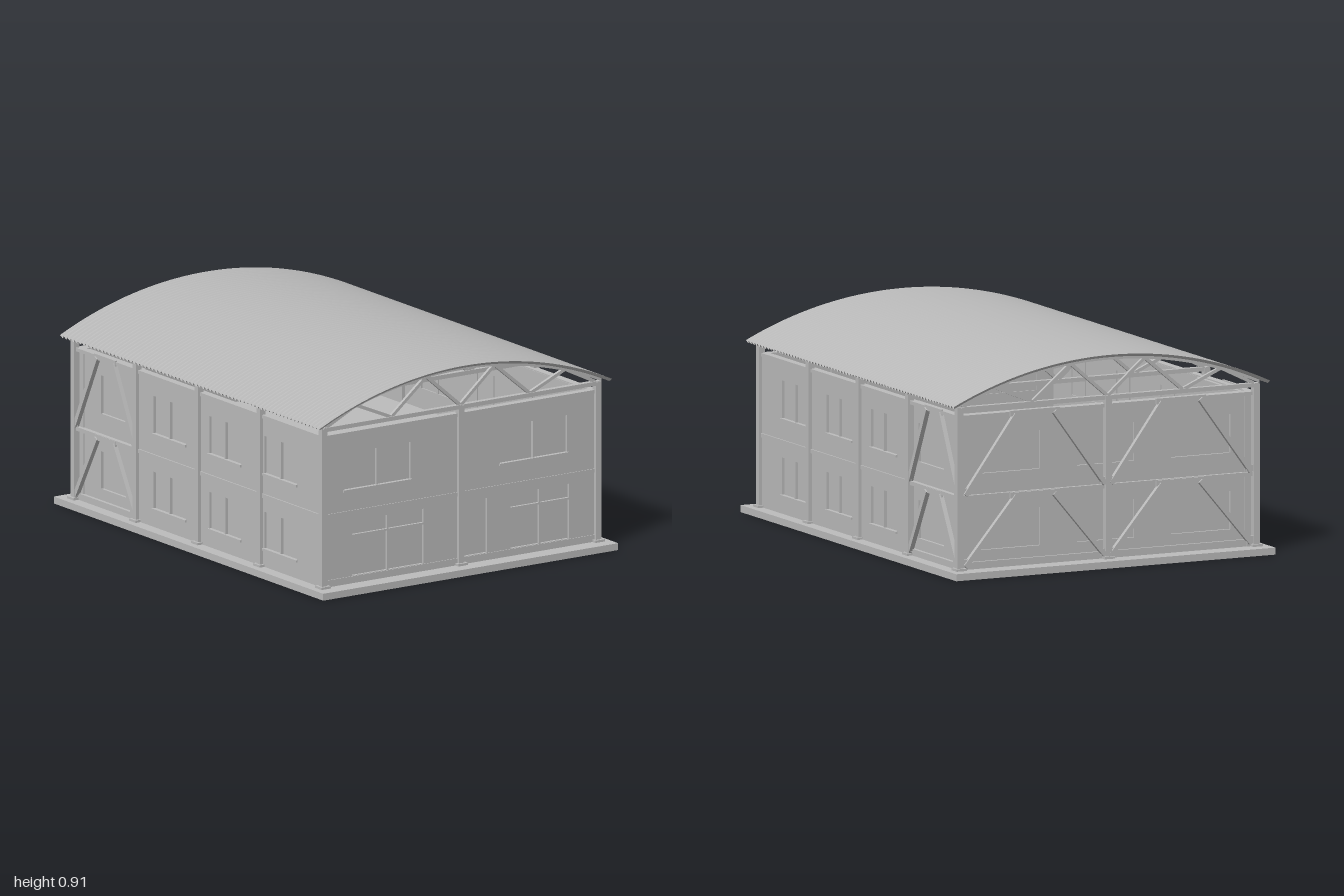
import * as THREE from 'three';

const concrete = new THREE.MeshStandardMaterial({ color: 0xbcbcbc });
concrete.name = 'light grey';
const sheet = new THREE.MeshStandardMaterial({ color: 0xbcbcbc, side: THREE.DoubleSide });
sheet.name = 'light grey sheet';

function add(parent, name, geometry, material = concrete) {
  const mesh = new THREE.Mesh(geometry, material);
  mesh.name = name;
  parent.add(mesh);
  return mesh;
}

// Box given by its extents on each axis
function box(parent, name, x0, x1, y0, y1, z0, z1) {
  const mesh = add(parent, name, new THREE.BoxGeometry(Math.abs(x1 - x0), y1 - y0, Math.abs(z1 - z0)));
  mesh.position.set((x0 + x1) / 2, (y0 + y1) / 2, (z0 + z1) / 2);
  return mesh;
}

// Straight bar between two points of one upright plane
function bar(parent, name, x0, y0, x1, y1, z, width, depth) {
  const length = Math.hypot(x1 - x0, y1 - y0);
  const mesh = add(parent, name, new THREE.BoxGeometry(length, width, depth));
  mesh.position.set((x0 + x1) / 2, (y0 + y1) / 2, z);
  mesh.rotation.z = Math.atan2(y1 - y0, x1 - x0);
}

function rectangle(path, x0, x1, y0, y1) {
  path.moveTo(x0, y0);
  path.lineTo(x1, y0);
  path.lineTo(x1, y1);
  path.lineTo(x0, y1);
  path.closePath();
  return path;
}

// Wall panel with recessed panes; z is its outer face
function wall(parent, x0, x1, y0, y1, z, openings) {
  const shape = rectangle(new THREE.Shape(), x0, x1, y0, y1);
  for (const [a, b, c, d] of openings) {
    shape.holes.push(rectangle(new THREE.Path(), a, b, c, d));
    box(parent, 'pane', a, b, c, d, z - 0.024, z - 0.012);
  }
  const panel = new THREE.ExtrudeGeometry(shape, { depth: 0.03, bevelEnabled: false });
  add(parent, 'wallPanel', panel).position.z = z - 0.03;
}

// Two panes side by side
const pair = (a, b, c, d) => {
  const m = (a + b) / 2;
  return [[a, m - 0.004, c, d], [m + 0.004, b, c, d]];
};

function sill(parent, a, b, y, z) {
  box(parent, 'sill', a - 0.005, b + 0.005, y - 0.01, y, z - 0.01, z + 0.008);
}

// Pair of slanting braces on each storey of a bay from a to b
function braces(parent, a, b, z) {
  const w = b - a, mid = (a + b) / 2;
  for (const [low, high] of [[0.045, 0.335], [0.35, 0.685]]) {
    for (const s of [-1, 1]) {
      bar(parent, 'brace', mid + s * w * 0.48, low, mid + s * w * 0.13, high - 0.005, z, 0.02, 0.02);
      box(parent, 'gusset', mid + s * w * 0.5, mid + s * w * 0.45, low, low + 0.03, z - 0.003, z + 0.003);
    }
    box(parent, 'gusset', mid - w * 0.17, mid + w * 0.17, high - 0.014, high + 0.01, z - 0.004, z + 0.004);
  }
}

function storeyBeams(parent, half, z) {
  box(parent, 'floorBeam', -half, half, 0.33, 0.347, z - 0.03, z + 0.004);
  box(parent, 'topBeam', -half, half, 0.675, 0.69, z - 0.03, z + 0.004);
}

function front() {
  const g = new THREE.Group();
  g.name = 'frontWall';
  const z = 0.918;
  const lower = [[0.015, 0.14, 0.06, 0.3]];
  for (const [a, b] of [[-0.55, -0.185], [0.26, 0.56]]) {
    lower.push(...pair(a, b, 0.062, 0.232), ...pair(a, b, 0.24, 0.3));
  }
  lower[0][2] = 0.062;
  const upper = [[-0.592, -0.252], [0.207, 0.55]];
  wall(g, -0.69, 0.69, 0.03, 0.335, z, lower);
  wall(g, -0.69, 0.69, 0.335, 0.69, z, upper.flatMap(([a, b]) => pair(a, b, 0.436, 0.6)));
  upper.forEach(([a, b]) => sill(g, a, b, 0.44, z));
  box(g, 'plinth', -0.69, 0.69, 0.03, 0.06, z - 0.03, z + 0.004);
  storeyBeams(g, 0.69, z);
  return g;
}

function back() {
  const g = new THREE.Group();
  g.name = 'backWall';
  g.rotation.y = Math.PI;
  const z = 0.905;
  const spans = [[-0.59, -0.31], [-0.135, 0.135], [0.31, 0.59]];
  wall(g, -0.69, 0.69, 0.03, 0.335, z, spans.map(([a, b]) => [a, b, 0.107, 0.27]));
  wall(g, -0.69, 0.69, 0.335, 0.69, z, spans.map(([a, b]) => [a, b, 0.434, 0.6]));
  box(g, 'plinth', -0.69, 0.69, 0.03, 0.06, z - 0.03, z + 0.012);
  storeyBeams(g, 0.69, z + 0.012);
  braces(g, -0.69, 0, z + 0.02);
  braces(g, 0, 0.69, z + 0.02);
  return g;
}

// Long side: s = 1 for the +x side, -1 for the mirrored one
function side(s) {
  const g = new THREE.Group();
  g.name = s > 0 ? 'leftSideWall' : 'rightSideWall';
  g.rotation.y = s * Math.PI / 2;
  const z = 0.7;
  // turns a span along the building into the wall's own coordinates
  const span = (a, b) => [-s * a, -s * b].sort((p, q) => p - q);
  const windows = [[0.724, 0.483], [0.31, 0.075], [-0.1, -0.34]].map(([a, b]) => span(a, b));
  const [w0, w1] = span(0.91, -0.46);
  for (const [y0, y1, c, d] of [[0.03, 0.34, 0.107, 0.27], [0.34, 0.685, 0.434, 0.6]]) {
    wall(g, w0, w1, y0, y1, z, windows.flatMap(([a, b]) => pair(a, b, c, d)));
    windows.forEach(([a, b]) => sill(g, a, b, c + 0.004, z));
    const [b0, b1] = span(-0.46, -0.91);
    wall(g, b0, b1, y0, y1, z - 0.015, [[...span(-0.51, -0.75), c, d]]);
  }
  const [b0, b1] = span(-0.46, -0.92);
  box(g, 'plinth', b0, b1, 0.03, 0.058, z - 0.04, z);
  storeyBeams(g, 0.91, z + 0.002);
  braces(g, b0, b1, z + 0.004);
  return g;
}

// Circular roof line
const arc = (x, top, R = 1.745) => top - R + Math.sqrt(R * R - x * x);

function truss(z) {
  const g = new THREE.Group();
  g.name = 'roofTruss';
  g.position.z = z;
  const shape = new THREE.Shape();
  const n = 32, half = 0.715;
  for (let i = 0; i <= n; i++) {
    const x = -half + 2 * half * i / n;
    i ? shape.lineTo(x, arc(x, 0.893)) : shape.moveTo(x, arc(x, 0.893));
  }
  for (let i = n; i >= 0; i--) {
    const x = -half + 2 * half * i / n;
    shape.lineTo(x, arc(x, 0.88));
  }
  add(g, 'topChord', new THREE.ExtrudeGeometry(shape, { depth: 0.024, bevelEnabled: false })).position.z = -0.012;
  box(g, 'bottomChord', -0.715, 0.715, 0.71, 0.728, -0.012, 0.012);
  for (const s of [-1, 1]) {
    const nodes = [[0, 0.725], [0.175, 0.875], [0.355, 0.725], [0.535, 0.803], [0.69, 0.727]];
    for (let i = 0; i < 4; i++) {
      bar(g, 'web', s * nodes[i][0], nodes[i][1], s * nodes[i + 1][0], nodes[i + 1][1], 0, 0.014, 0.014);
    }
  }
  return g;
}

function column(x, z) {
  const g = new THREE.Group();
  g.name = 'column';
  box(g, 'shaft', x - 0.014, x + 0.014, 0.03, 0.725, z - 0.014, z + 0.014);
  box(g, 'basePlate', x - 0.024, x + 0.024, 0.03, 0.04, z - 0.024, z + 0.024);
  return g;
}

// Corrugated arched sheet, waves running along the building
function roof() {
  const waves = 72;
  const geometry = new THREE.PlaneGeometry(1.49, 1.93, 40, waves * 6);
  geometry.rotateX(-Math.PI / 2);
  const p = geometry.attributes.position;
  for (let i = 0; i < p.count; i++) {
    const ripple = 0.006 * Math.cos(p.getZ(i) / 1.93 * waves * Math.PI * 2);
    const x = p.getX(i);
    p.setXYZ(i, x * (1 + ripple / 1.745), arc(x, 0.9) + ripple, p.getZ(i));
  }
  geometry.computeVertexNormals();
  return geometry;
}

export function createModel() {
  const model = new THREE.Group();
  model.name = 'twoStoreyHall';
  box(model, 'groundSlab', -0.755, 0.755, 0, 0.03, -1, 1);
  box(model, 'upperFloor', -0.67, 0.67, 0.325, 0.345, -0.88, 0.89);
  model.add(front(), back(), side(1), side(-1));

  // Frames: columns and arched trusses
  for (const z of [-0.92, -0.46, 0, 0.46, 0.92]) {
    model.add(column(-0.701, z), column(0.701, z), truss(z));
  }
  model.add(column(0, 0.92), column(0, -0.92));

  add(model, 'corrugatedRoof', roof(), sheet);
  return model;
}
